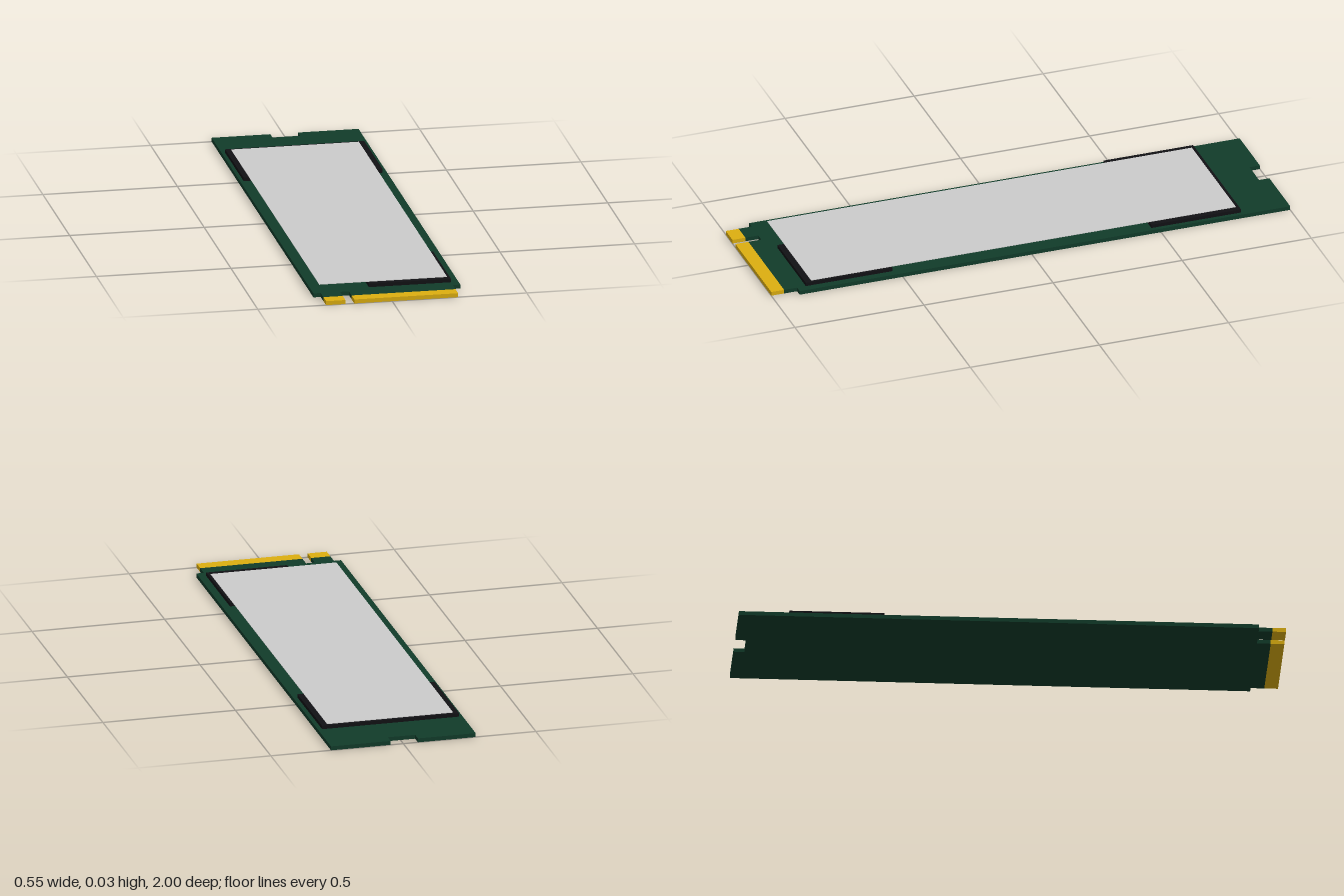
import * as THREE from 'three';

const BOARD_H = 0.015;
const CHIP_H = 0.013;

const paint = (color) => new THREE.MeshStandardMaterial({ color });

// Box given by its extents on each axis
function slab(name, [x0, x1], [y0, y1], [z0, z1], material) {
  const mesh = new THREE.Mesh(new THREE.BoxGeometry(x1 - x0, y1 - y0, z1 - z0), material);
  mesh.position.set((x0 + x1) / 2, (y0 + y1) / 2, (z0 + z1) / 2);
  mesh.name = name;
  return mesh;
}

export function createModel() {
  const model = new THREE.Group();
  model.name = 'storageCard';
  const green = paint(0x113c2a);
  const gold = paint(0xdcae10);
  const black = paint(0x111114);
  const grey = paint(0xcccccc);

  // Circuit board outline in (x, z): screw notch at the back, keyed tab at the front
  const outline = [
    [-0.273, -1], [-0.055, -1], [-0.055, -0.96], [0.048, -0.96], [0.048, -1], [0.273, -1],
    [0.273, 0.9], [0.245, 0.9], [0.245, 0.95], [-0.141, 0.95], [-0.141, 0.9],
    [-0.174, 0.9], [-0.174, 0.95], [-0.246, 0.95], [-0.246, 0.9], [-0.273, 0.9],
  ];
  const shape = new THREE.Shape(outline.map(([x, z]) => new THREE.Vector2(x, -z)));
  const boardGeometry = new THREE.ExtrudeGeometry(shape, { depth: BOARD_H, bevelEnabled: false });
  boardGeometry.rotateX(-Math.PI / 2);
  const board = new THREE.Mesh(boardGeometry, green);
  board.name = 'circuitBoard';
  model.add(board);

  // Gold edge contacts on either side of the key slot
  const boardY = [0, BOARD_H];
  model.add(slab('narrowContact', [-0.246, -0.174], boardY, [0.95, 1], gold));
  model.add(slab('wideContact', [-0.141, 0.245], boardY, [0.95, 1], gold));

  // Memory chip at the back, controller chip at the front
  const top = BOARD_H + CHIP_H;
  model.add(slab('memoryChip', [-0.26, 0.257], [BOARD_H, top], [-0.815, -0.468], black));
  model.add(slab('controllerChip', [-0.06, 0.245], [BOARD_H, top], [0.53, 0.866], black));

  // Thin label bridging the chips
  model.add(slab('label', [-0.24, 0.235], [top, top + 0.002], [-0.803, 0.842], grey));

  return model;
}
